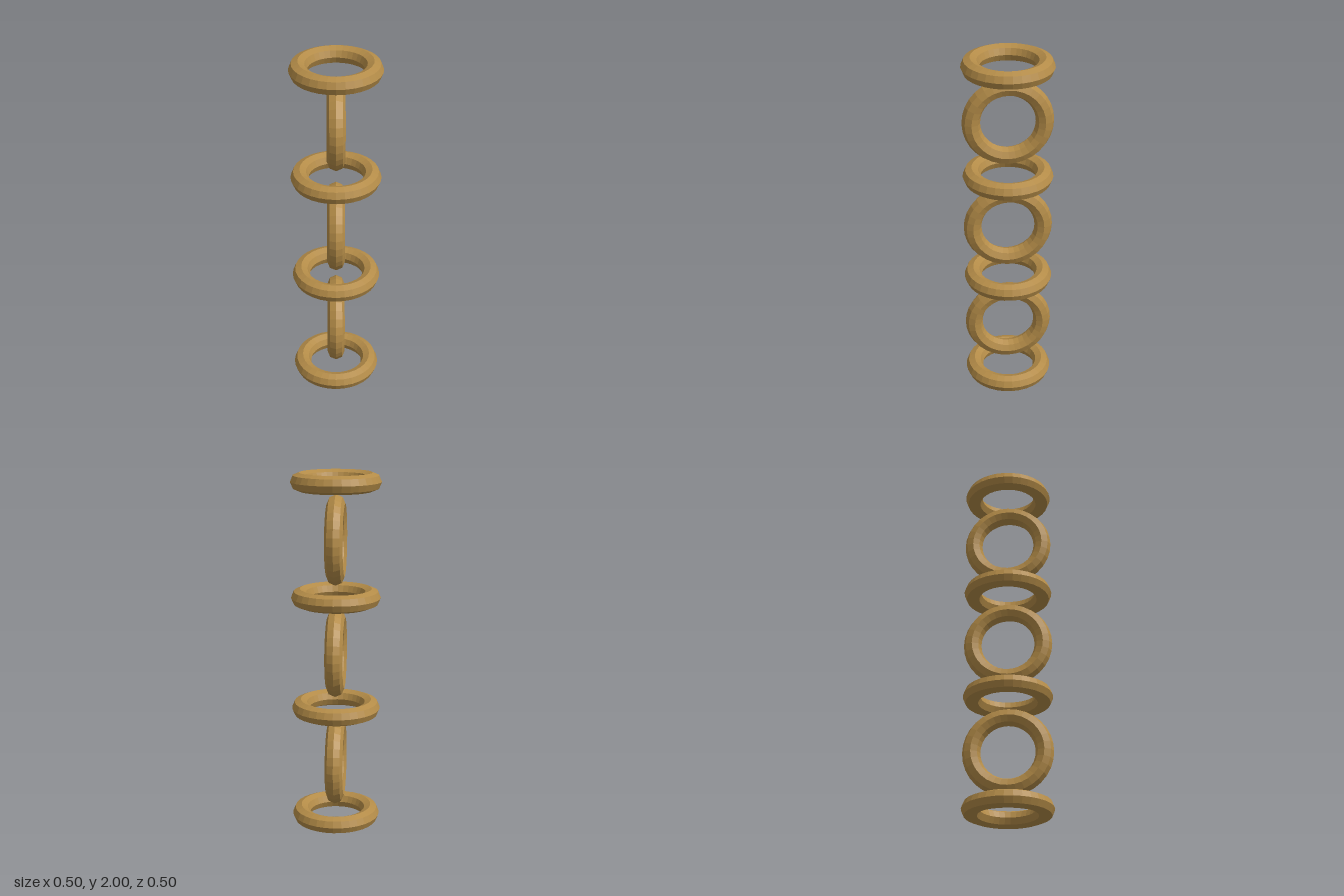
import * as THREE from 'three';

export function createModel() {
  const chain = new THREE.Group();
  chain.name = 'chain';
  const brass = new THREE.MeshStandardMaterial({ color: 0xb48c48, flatShading: true });
  brass.name = 'brass';

  const ringRadius = 0.198, tube = 0.0495, spacing = 0.3168;
  const ring = new THREE.TorusGeometry(ringRadius, tube, 8, 32);

  // Seven rings, alternately lying flat and standing upright
  for (let i = 0; i < 7; i++) {
    const flat = i % 2 === 0;
    const link = new THREE.Mesh(ring, brass);
    link.name = (flat ? 'flatRing' : 'uprightRing') + (i + 1);
    if (flat) link.rotation.x = Math.PI / 2;
    else link.rotation.y = Math.PI / 2;
    link.position.y = tube + i * spacing;
    chain.add(link);
  }
  return chain;
}
